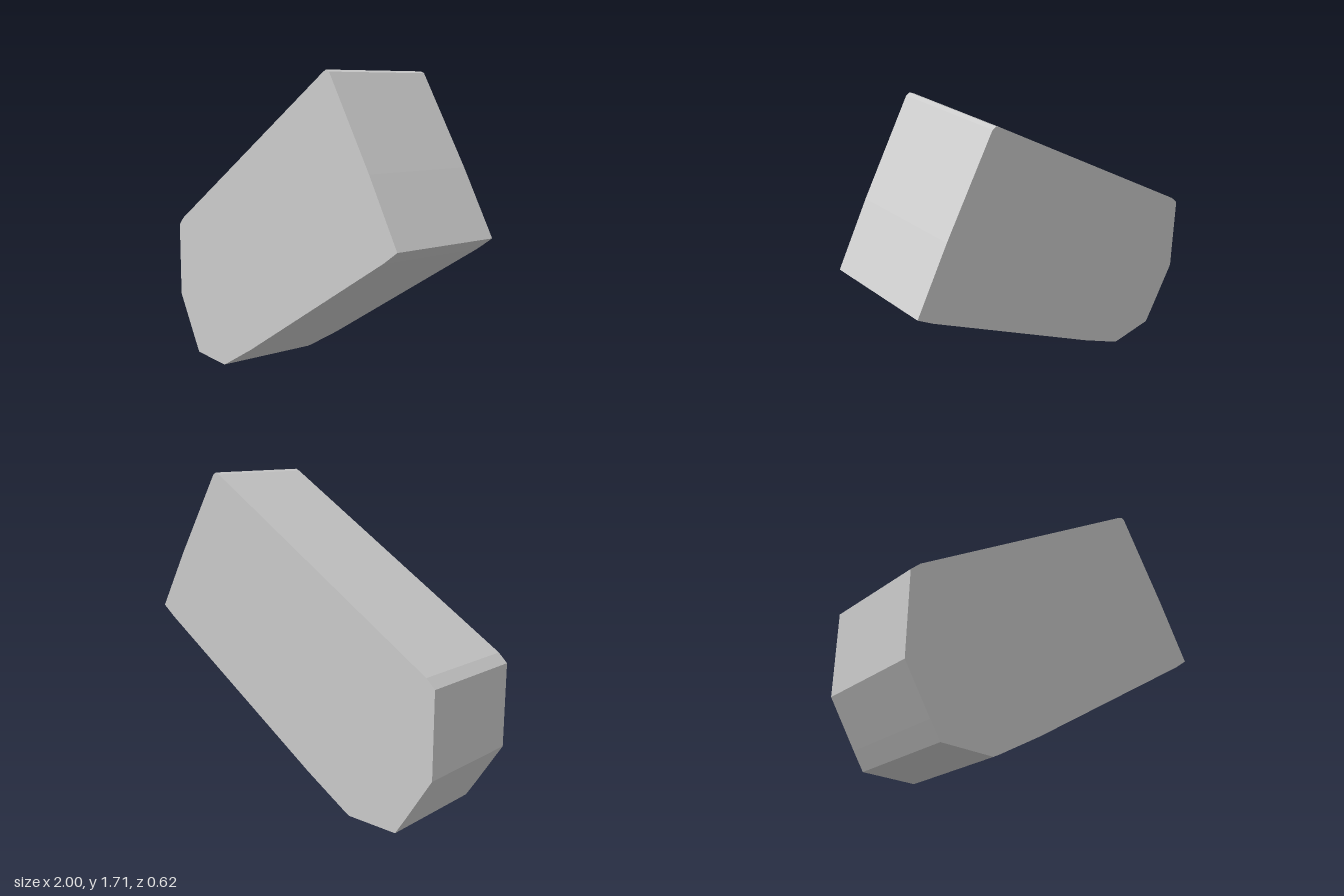
import * as THREE from 'three';

export function createModel() {
  const group = new THREE.Group();
  const depth = 0.625;

  // Slanted side outline, counter-clockwise from the bottom flat
  const outline = [
    [-0.79, 0.005], [-0.49, 0], [-0.455, 0.018], [-0.2, 0.162], [0.91, 0.84], [1, 0.903],
    [0.805, 1.235], [0.51, 1.7], [0.488, 1.71], [0.465, 1.7],
    [-0.95, 0.832], [-1, 0.785], [-1, 0.338], [-0.85, 0.098],
  ].map(([x, y]) => new THREE.Vector2(x, y));

  // Solid block, extruded front to back with sharp edges
  const geometry = new THREE.ExtrudeGeometry(new THREE.Shape(outline), { depth, bevelEnabled: false });
  geometry.translate(0, 0, -depth / 2);

  const block = new THREE.Mesh(
    geometry,
    new THREE.MeshStandardMaterial({ color: 0xcccccc, flatShading: true }),
  );
  block.name = 'slantedBlock';
  group.add(block);
  return group;
}
